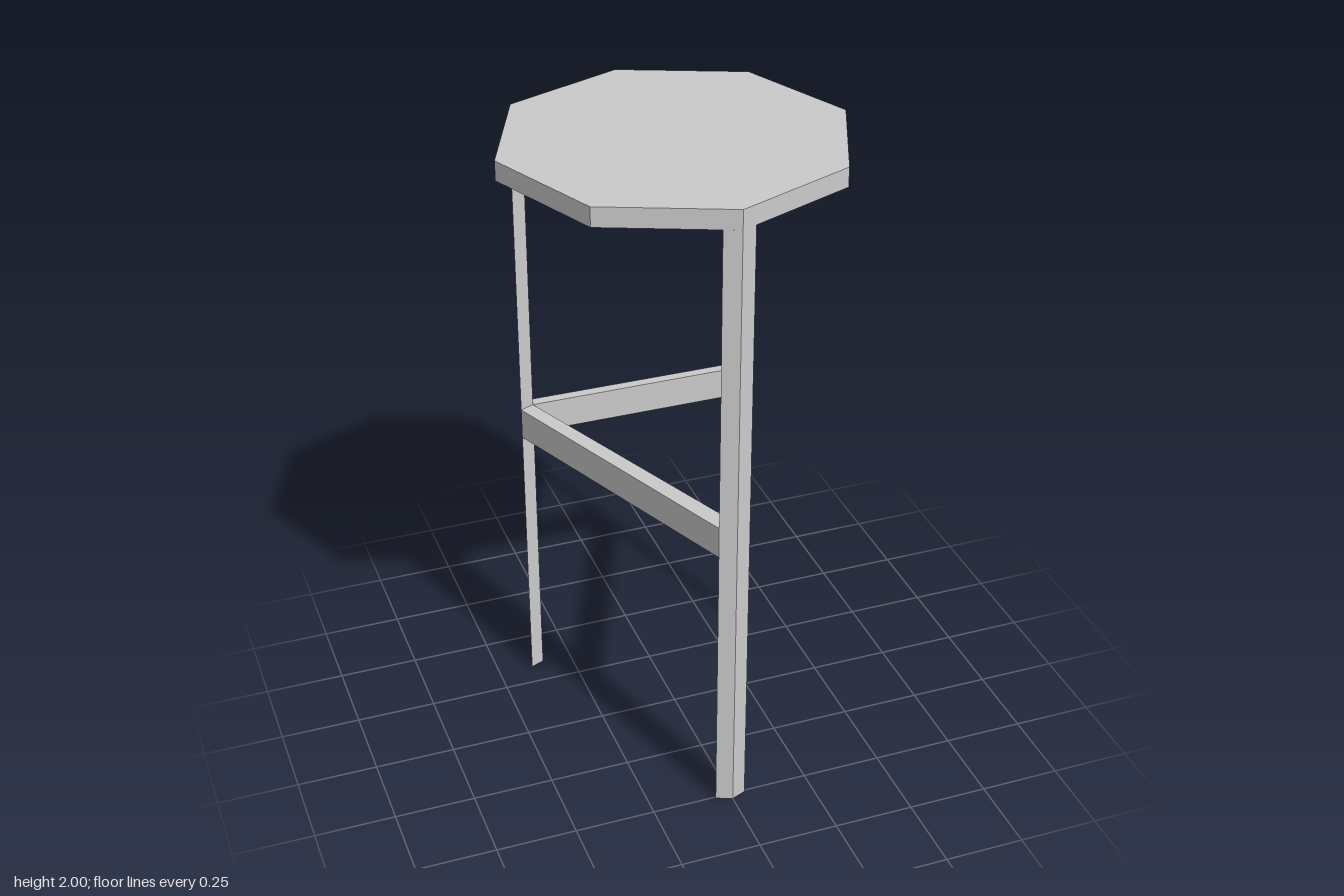
import * as THREE from 'three';

const material = new THREE.MeshStandardMaterial({ color: 0xcccccc, flatShading: true });

// Upright prism: footprint is a list of [x, z] corners
function prism(name, footprint, bottom, top) {
  const shape = new THREE.Shape(footprint.map(([x, z]) => new THREE.Vector2(x, z)));
  const geometry = new THREE.ExtrudeGeometry(shape, { depth: top - bottom, bevelEnabled: false });
  geometry.rotateX(Math.PI / 2); // shape y becomes z, extrusion runs down
  geometry.translate(0, top, 0);
  const mesh = new THREE.Mesh(geometry, material);
  mesh.name = name;
  return mesh;
}

export function createModel() {
  const group = new THREE.Group();
  group.name = 'barStool';

  const radius = 0.525, seatBottom = 1.94, seatTop = 2;

  // Octagonal seat with corners on the axes
  const octagon = [];
  for (let i = 0; i < 8; i++) {
    const a = (i * Math.PI) / 4;
    octagon.push([radius * Math.cos(a), radius * Math.sin(a)]);
  }
  group.add(prism('seat', octagon, seatBottom, seatTop));

  // Four-sided legs, flush with three seat corners: outer, side, inner, side
  const front = [[0, 0.525], [0.046, 0.506], [0, 0.477], [-0.049, 0.505]];
  const left = [[0.371, -0.371], [0.386, -0.337], [0.349, -0.35], [0.344, -0.383]];
  const right = [[-0.371, -0.371], [-0.389, -0.33], [-0.345, -0.349], [-0.341, -0.384]];
  group.add(prism('frontLeg', front, 0, seatBottom));
  group.add(prism('backLeftLeg', left, 0, seatBottom));
  group.add(prism('backRightLeg', right, 0, seatBottom));

  // Footrest bars, each spanning between facing sides of two legs
  const bar = (name, a, b) => group.add(prism(name, [...a, ...b], 0.9, 1));
  bar('leftFootrest', [front[1], front[2]], [left[2], left[1]]);
  bar('rightFootrest', [front[3], front[2]], [right[2], right[1]]);
  bar('backFootrest', [left[3], left[2]], [right[2], right[3]]);

  return group;
}
